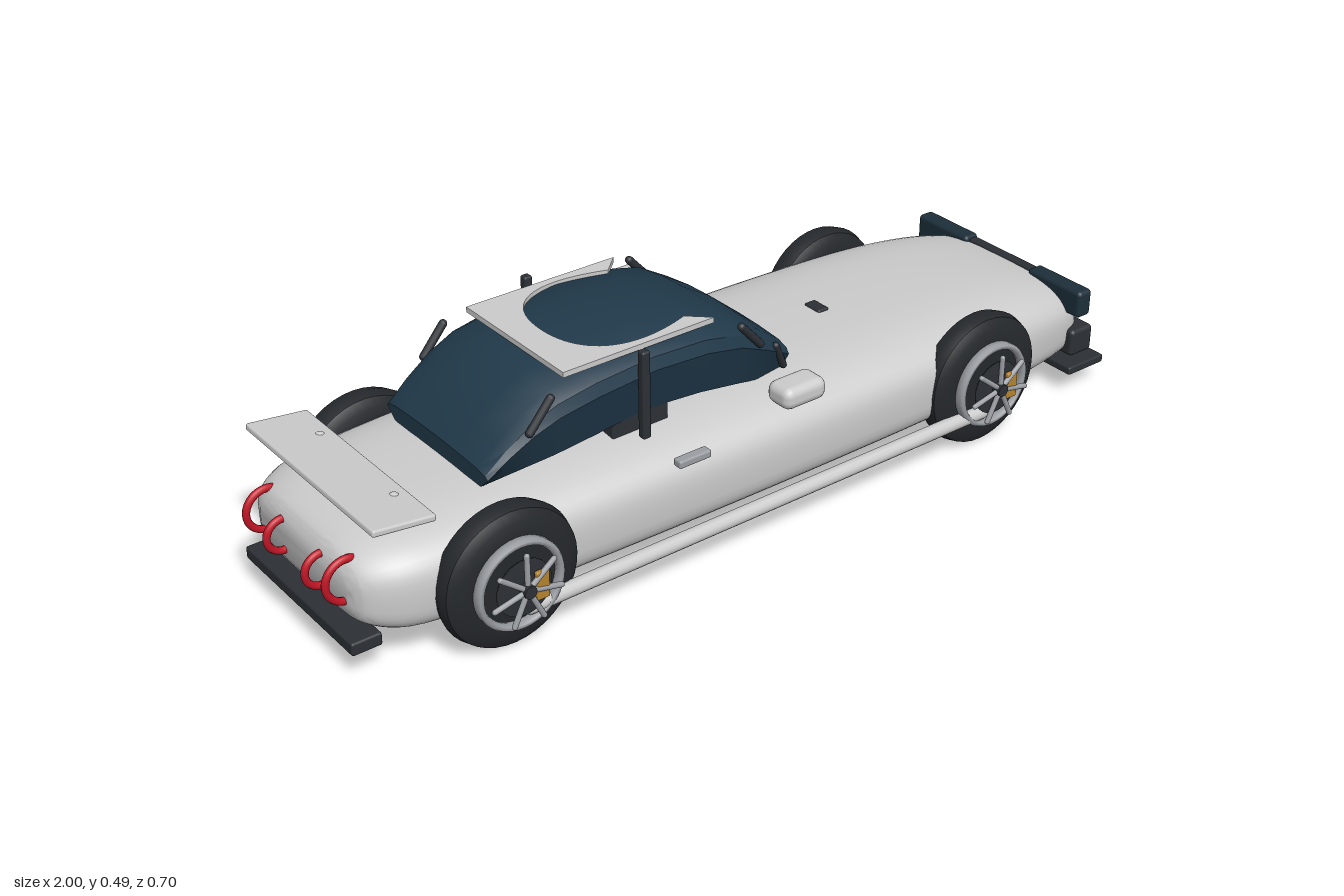
import * as THREE from 'three';
import { toCreasedNormals } from 'three/addons/utils/BufferGeometryUtils.js';
import { RoundedBoxGeometry } from 'three/addons/geometries/RoundedBoxGeometry.js';

const mat = (color) => new THREE.MeshStandardMaterial({ color, side: THREE.DoubleSide });
const paint = mat(0xcccccc), glass = mat(0x20394a), lamp = mat(0x1d2f3a), rubber = mat(0x25282c),
  trim = mat(0x2c3035), metal = mat(0x9a9da2), gold = mat(0xb5842f), red = mat(0xc01525);

function add(parent, name, geo, material, x = 0, y = 0, z = 0) {
  const m = new THREE.Mesh(geo, material);
  m.name = name;
  m.position.set(x, y, z);
  parent.add(m);
  return m;
}

// Rounded block given by its minimum and maximum corners
function block(parent, name, material, a, b, r = 0.005) {
  const s = a.map((v, i) => b[i] - v), c = a.map((v, i) => (v + b[i]) / 2);
  return add(parent, name, new RoundedBoxGeometry(...s, 2, Math.min(r, ...s.map((v) => v / 2.1))), material, ...c);
}

// Round bar between two points
function bar(parent, name, material, a, b, r) {
  const p = new THREE.Vector3(...a), q = new THREE.Vector3(...b);
  const m = add(parent, name, new THREE.CapsuleGeometry(r, p.distanceTo(q), 4, 12), material);
  m.position.copy(p).add(q).multiplyScalar(0.5);
  m.quaternion.setFromUnitVectors(new THREE.Vector3(0, 1, 0), q.sub(p).normalize());
  return m;
}

// Skin over cross-sections; each is { x, ring: [[z, y], ...] }
function loft(sections, crease) {
  const n = sections[0].ring.length, pos = [], idx = [];
  sections.forEach(({ x, ring }) => ring.forEach(([z, y]) => pos.push(x, y, z)));
  for (let i = 0; i < sections.length - 1; i++) {
    for (let j = 0; j < n; j++) {
      const a = i * n + j, b = i * n + (j + 1) % n;
      idx.push(a, a + n, b, b, a + n, b + n);
    }
  }
  const last = (sections.length - 1) * n;
  for (let j = 1; j < n - 1; j++) idx.push(0, j, j + 1, last, last + j + 1, last + j);
  const g = new THREE.BufferGeometry();
  g.setAttribute('position', new THREE.Float32BufferAttribute(pos, 3));
  g.setIndex(idx);
  return toCreasedNormals(g, crease);
}

// Smooth interpolation through rows of [x, ...values]
function smoothRows(rows, steps) {
  const curves = [1, 2, 3].map((k) => new THREE.CatmullRomCurve3(
    rows.map((r) => new THREE.Vector3(r[0], r[k], 0)), false, 'centripetal'));
  return Array.from({ length: steps + 1 }, (_, i) => {
    const p = curves.map((c) => c.getPoint(i / steps));
    return [p[0].x, p[0].y, p[1].y, p[2].y];
  });
}

function buildBody(car) {
  // x, bottom, top, half width
  const rows = smoothRows([
    [-0.955, 0.13, 0.235, 0.17], [-0.94, 0.105, 0.255, 0.205], [-0.88, 0.08, 0.278, 0.245],
    [-0.75, 0.07, 0.288, 0.268], [-0.45, 0.07, 0.295, 0.283], [0, 0.07, 0.298, 0.29],
    [0.45, 0.07, 0.295, 0.285], [0.7, 0.07, 0.284, 0.272], [0.85, 0.072, 0.264, 0.25],
    [0.935, 0.078, 0.24, 0.225], [0.955, 0.082, 0.225, 0.205]], 50);
  const pw = (v, e) => Math.sign(v) * Math.abs(v) ** e;
  const sections = rows.map(([x, lo, hi, w]) => {
    const mid = lo + (hi - lo) * 0.5;
    return { x, ring: Array.from({ length: 48 }, (_, j) => {
      const t = j / 48 * Math.PI * 2, up = Math.sin(t) >= 0;
      return [w * pw(Math.cos(t), up ? 0.6 : 0.35),
        mid + (up ? hi - mid : mid - lo) * pw(Math.sin(t), up ? 0.75 : 0.5)];
    }) };
  });
  add(car, 'body', loft(sections, 0.6), paint);
  block(car, 'bonnetVent', trim, [0.325, 0.285, -0.025], [0.355, 0.302, 0.025]);
}

function buildCabin(car) {
  const cabin = new THREE.Group();
  cabin.name = 'cabin';
  // x, bottom, top, half width
  const rows = [[-0.645, 0.29, 0.33, 0.185], [-0.6, 0.295, 0.38, 0.19], [-0.54, 0.3, 0.43, 0.194],
    [-0.48, 0.305, 0.462, 0.198], [-0.39, 0.315, 0.48, 0.2], [-0.25, 0.33, 0.49, 0.2],
    [-0.12, 0.32, 0.485, 0.2], [-0.03, 0.305, 0.463, 0.196], [0.04, 0.29, 0.42, 0.187], [0.115, 0.285, 0.358, 0.172]];
  const half = [[0.86, 0], [0.94, 0.35], [1, 0.62], [0.95, 0.78], [0.8, 0.9], [0.4, 0.975]];
  const sections = rows.map(([x, lo, hi, w]) => {
    const right = half.map(([a, b]) => [w * a, lo + (hi - lo) * b]);
    return { x, ring: [...right, [0, hi], ...right.map(([z, y]) => [-z, y]).reverse()] };
  });
  add(cabin, 'glasshouse', loft(sections, 0.55), glass);
  block(cabin, 'cabinFloor', trim, [-0.34, 0.27, -0.17], [-0.2, 0.345, 0.17]);

  // Roof panel, open at the front around the domed glass
  const s = new THREE.Shape();
  s.moveTo(-0.455, -0.172);
  s.lineTo(-0.085, -0.172);
  s.lineTo(-0.13, -0.13);
  s.bezierCurveTo(-0.3, -0.19, -0.39, -0.13, -0.39, 0);
  s.bezierCurveTo(-0.39, 0.13, -0.3, 0.19, -0.13, 0.13);
  s.lineTo(-0.085, 0.172);
  s.lineTo(-0.455, 0.172);
  const roof = new THREE.ExtrudeGeometry(s, { depth: 0.012, bevelEnabled: false, curveSegments: 20 });
  add(cabin, 'roofPanel', roof.rotateX(Math.PI / 2), paint, 0, 0.482, 0);

  for (const z of [1, -1]) {
    block(cabin, 'centrePillar', trim, [-0.296, 0.29, z * 0.205 - 0.01], [-0.276, 0.488, z * 0.205 + 0.01]);
    bar(cabin, 'frontPillar', trim, [-0.03, 0.45, z * 0.192], [0.02, 0.395, z * 0.192], 0.009);
    bar(cabin, 'lowerFrontPillar', trim, [0.075, 0.365, z * 0.176], [0.105, 0.305, z * 0.166], 0.008);
    bar(cabin, 'rearPillar', trim, [-0.55, 0.39, z * 0.192], [-0.5, 0.45, z * 0.192], 0.009);
  }
  car.add(cabin);
}

function buildWheel(car, x, side) {
  const wheel = new THREE.Group();
  wheel.name = (x > 0 ? 'front' : 'rear') + (side > 0 ? 'Near' : 'Far') + 'Wheel';
  const turn = (pts) => new THREE.LatheGeometry(pts.map((p) => new THREE.Vector2(...p)), 40).rotateX(Math.PI / 2);
  add(wheel, 'tyre', toCreasedNormals(turn([[0, 0.23], [0.1, 0.23], [0.13, 0.233], [0.15, 0.245], [0.156, 0.268],
    [0.15, 0.29], [0.13, 0.302], [0.1, 0.305], [0, 0.305]]), 0.7), rubber);
  add(wheel, 'rimRing', turn([[0.088, 0.3], [0.1, 0.3], [0.1, 0.318], [0.096, 0.325], [0.088, 0.325], [0.084, 0.315], [0.088, 0.3]]), metal);
  add(wheel, 'brakeDisc', turn([[0, 0.326], [0.062, 0.326], [0.062, 0.331], [0, 0.331]]), trim);
  block(wheel, 'caliper', gold, [side * 0.034 - 0.015, -0.032, 0.333], [side * 0.034 + 0.015, 0.032, 0.345], 0.004);
  for (let i = 0; i < 7; i++) {
    const a = Math.PI / 2 + i / 7 * Math.PI * 2, c = Math.cos(a), s = Math.sin(a);
    bar(wheel, 'spoke', metal, [c * 0.015, s * 0.015, 0.342], [c * 0.078, s * 0.078, 0.342], 0.006);
  }
  add(wheel, 'hub', new THREE.CylinderGeometry(0.014, 0.014, 0.02, 20).rotateX(Math.PI / 2), trim, 0, 0, 0.342);
  wheel.position.set(x, 0.157, 0);
  if (side < 0) wheel.rotation.y = Math.PI;
  car.add(wheel);
  block(car, 'wheelArch', rubber, [x - 0.1, 0.11, side * 0.27 - 0.022], [x + 0.148, 0.22, side * 0.27 + 0.022], 0.02);
}

function buildNose(car) {
  // Domed nose surround in the z-y plane, pushed along +x
  const s = new THREE.Shape();
  s.moveTo(-0.15, 0.085);
  s.bezierCurveTo(-0.18, 0.18, -0.16, 0.225, -0.09, 0.225);
  s.lineTo(0.09, 0.225);
  s.bezierCurveTo(0.16, 0.225, 0.18, 0.18, 0.15, 0.085);
  const g = new THREE.ExtrudeGeometry(s, { depth: 0.02, bevelSize: 0.004, bevelThickness: 0.006, bevelSegments: 2, curveSegments: 16 });
  add(car, 'noseSurround', g.rotateY(Math.PI / 2), paint, 0.942, 0, 0);
  block(car, 'grille', trim, [0.95, 0.08, -0.135], [0.98, 0.167, 0.135]);
  block(car, 'numberPlate', mat(0xa8abb2), [0.975, 0.095, -0.063], [0.987, 0.163, 0.063], 0.003);
  block(car, 'lampBar', trim, [0.91, 0.226, -0.115], [0.935, 0.254, 0.115]);
  block(car, 'splitter', trim, [0.885, 0.053, -0.27], [0.997, 0.073, 0.27]);
  for (const z of [1, -1]) {
    block(car, 'headlamp', lamp, [0.898, 0.195, z * 0.185 - 0.083], [0.94, 0.261, z * 0.185 + 0.083], 0.01);
    block(car, 'airIntake', trim, [0.9, 0.09, z * 0.2 - 0.056], [0.968, 0.156, z * 0.2 + 0.056], 0.01);
  }
}

function buildTail(car) {
  block(car, 'rearBumper', trim, [-0.977, 0.065, -0.21], [-0.91, 0.094, 0.21]);
  const wing = block(car, 'wing', paint, [-0.932, 0.324, -0.245], [-0.795, 0.339, 0.245]);
  wing.rotation.z = -0.12;
  for (const z of [1, -1]) {
    bar(car, 'wingSupport', paint, [-0.835, 0.275, z * 0.14], [-0.825, 0.325, z * 0.14], 0.013);
    // Tail lamp hoops, a large outer and a small inner one on each side
    for (const [r, offset, y] of [[0.046, 0.155, 0.2], [0.036, 0.075, 0.185]]) {
      const hoop = new THREE.TorusGeometry(r, 0.008, 10, 28, Math.PI * 1.35).rotateZ(Math.PI * 0.325);
      add(car, 'tailLampHoop', hoop, red, -0.992 + r, y, z * offset);
    }
  }
}

function buildSides(car) {
  for (const z of [1, -1]) {
    bar(car, 'sideSill', paint, [-0.64, 0.092, z * 0.308], [0.56, 0.092, z * 0.308], 0.017);
    block(car, 'doorHandle', metal, [-0.27, 0.253, z * 0.288 - 0.012], [-0.19, 0.271, z * 0.288 + 0.012]);
    block(car, 'mirror', paint, [-0.028, 0.31, z * 0.302 - 0.036], [0.082, 0.36, z * 0.302 + 0.036], 0.02);
  }
}

export function createModel() {
  const car = new THREE.Group();
  car.name = 'car';
  buildBody(car);
  buildCabin(car);
  buildNose(car);
  buildTail(car);
  buildSides(car);
  for (const x of [-0.665, 0.582]) for (const side of [1, -1]) buildWheel(car, x, side);
  return car;
}
